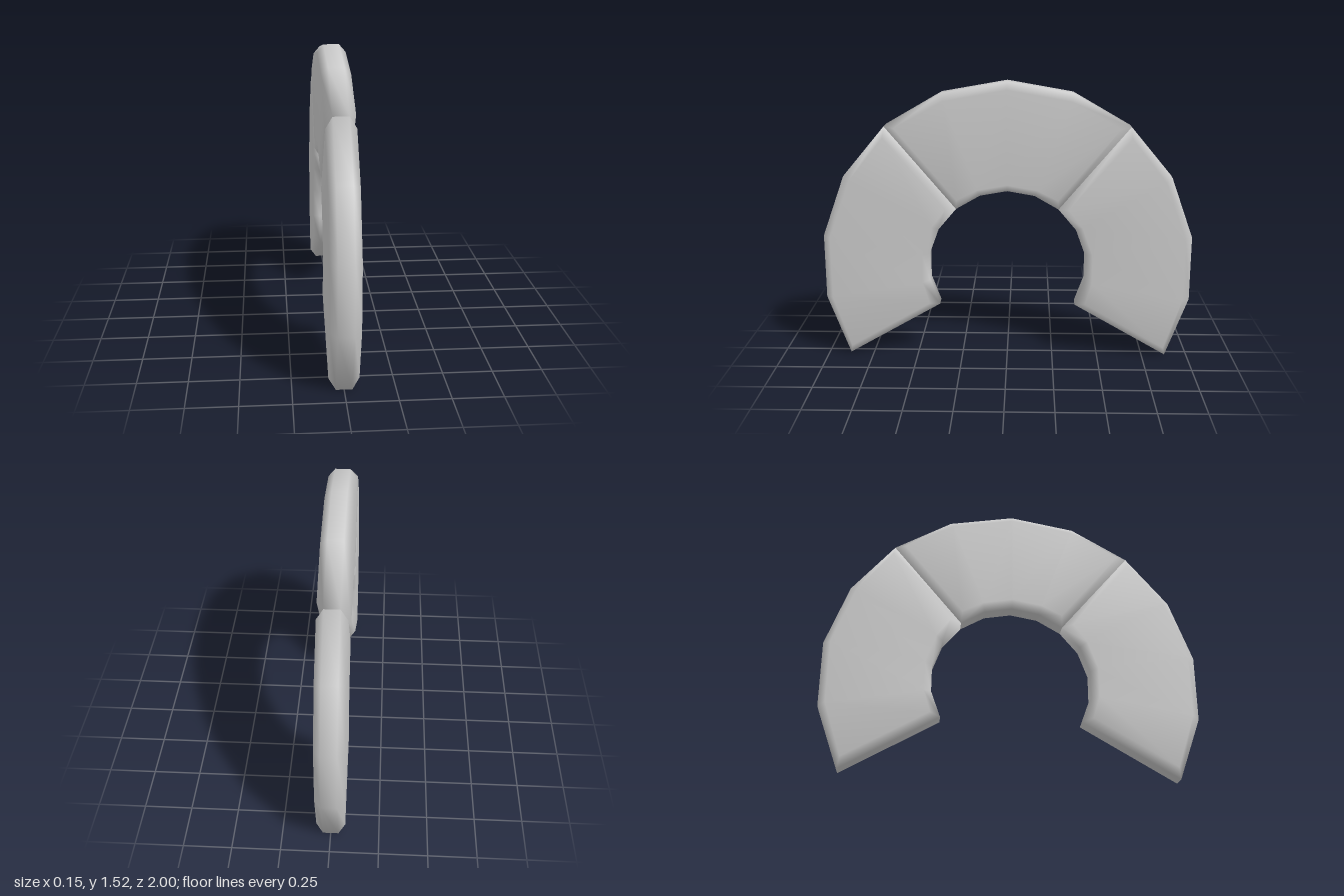
import * as THREE from 'three';

const CENTRE_Y = 0.508, OUTER = 1.0154, INNER = 0.43;
const BEVEL = 0.04, HALF_FLAT = 0.04, HALF_WIDTH = 0.075;
const STEP = THREE.MathUtils.degToRad(20), STEPS = 4;

// Closed outline of one arc block in the z-y plane, shrunk by an inset
function outline(startAngle, inset) {
  const points = [];
  const add = (j, radius) => {
    const a = startAngle + j * STEP;
    // end points also move along the arc, so that the end faces are bevelled
    const shift = j === 0 ? inset : j === STEPS ? -inset : 0;
    points.push([
      CENTRE_Y + radius * Math.cos(a) - shift * Math.sin(a),
      radius * Math.sin(a) + shift * Math.cos(a),
    ]);
  };
  for (let j = 0; j <= STEPS; j++) add(j, OUTER - inset);
  for (let j = STEPS; j >= 0; j--) add(j, INNER + inset);
  return points;
}

// Four stacked outlines form a block with chamfered edges and smooth normals
function blockGeometry(startAngle) {
  const rings = [[-HALF_WIDTH, BEVEL], [-HALF_FLAT, 0], [HALF_FLAT, 0], [HALF_WIDTH, BEVEL]];
  const n = 2 * (STEPS + 1), positions = [], index = [];
  const quad = (a, b, c, d) => index.push(a, b, c, a, c, d);
  for (const [x, inset] of rings) {
    for (const [y, z] of outline(startAngle, inset)) positions.push(x, y, z);
  }
  // rim and chamfers
  for (let k = 0; k < rings.length - 1; k++) {
    for (let i = 0; i < n; i++) {
      const next = (i + 1) % n;
      quad(k * n + i, k * n + next, (k + 1) * n + next, (k + 1) * n + i);
    }
  }
  // flat sides
  const top = (rings.length - 1) * n;
  for (let j = 0; j < STEPS; j++) {
    const o = j, p = j + 1, q = n - 2 - j, r = n - 1 - j;
    quad(top + o, top + p, top + q, top + r);
    quad(r, q, p, o);
  }
  const geometry = new THREE.BufferGeometry();
  geometry.setAttribute('position', new THREE.Float32BufferAttribute(positions, 3));
  geometry.setIndex(index);
  geometry.computeVertexNormals();
  return geometry;
}

export function createModel() {
  const model = new THREE.Group();
  model.name = 'segmentedArch';
  const material = new THREE.MeshStandardMaterial({ color: 0xcccccc });
  // three equal blocks, from the back foot over the crown to the front foot
  ['backSegment', 'crownSegment', 'frontSegment'].forEach((name, i) => {
    const block = new THREE.Mesh(blockGeometry((i * STEPS - 6) * STEP), material);
    block.name = name;
    model.add(block);
  });
  return model;
}
